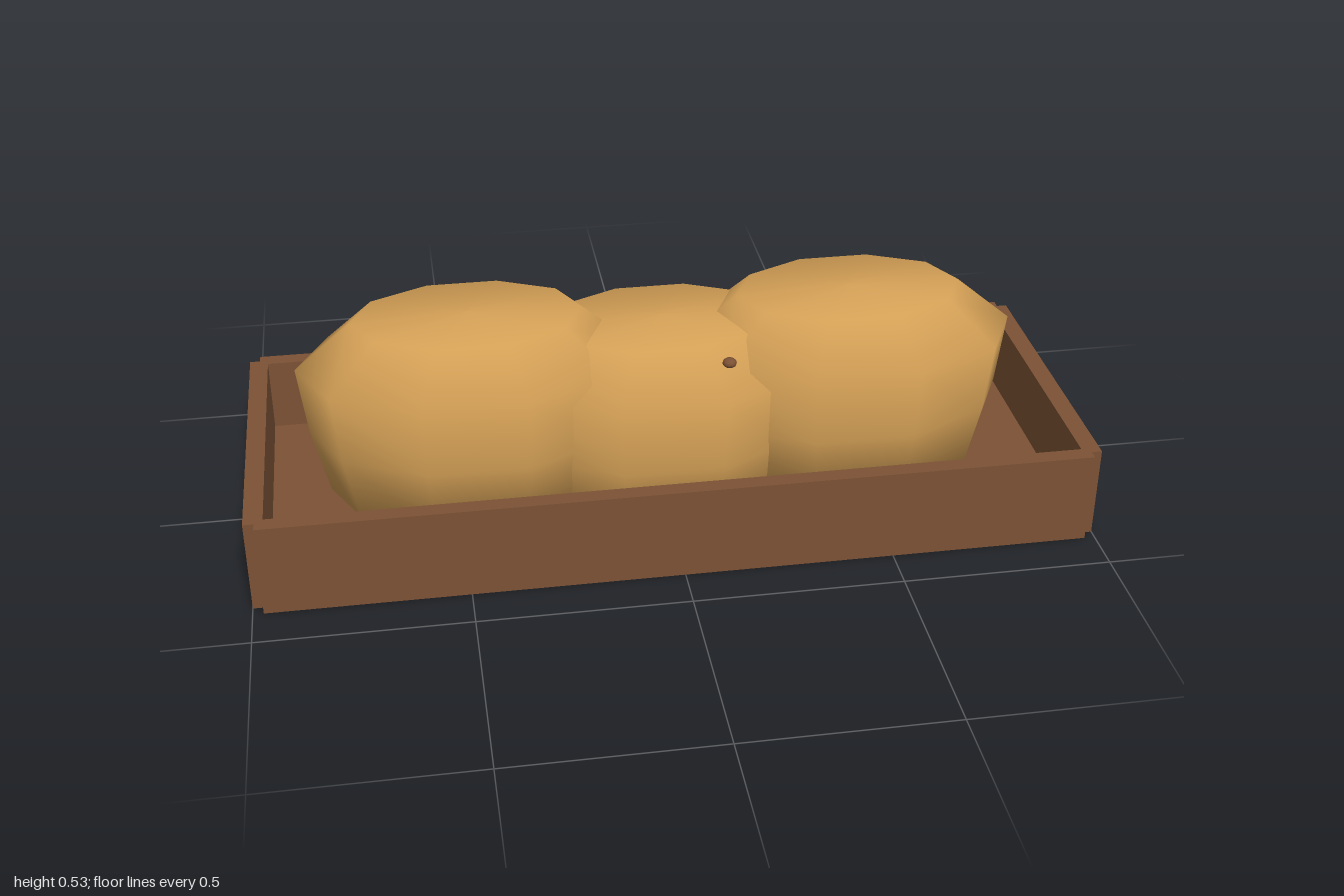
import * as THREE from 'three';

export function createModel() {
  const model = new THREE.Group();
  const wood = new THREE.MeshStandardMaterial({ color: 0x7b5134 });
  wood.name = 'brown wood';
  const crust = new THREE.MeshStandardMaterial({ color: 0xd4a056 });
  crust.name = 'golden crust';

  const add = (name, geometry, material, x, y, z) => {
    const mesh = new THREE.Mesh(geometry, material);
    mesh.name = name;
    mesh.position.set(x, y, z);
    model.add(mesh);
    return mesh;
  };
  const box = (name, w, h, d, x, y, z) =>
    add(name, new THREE.BoxGeometry(w, h, d), wood, x, y, z);

  // Tray: floor, long walls, and end walls that leave small notched corners
  box('trayFloor', 1.94, 0.045, 0.74, 0, 0.0225, 0);
  for (const s of [-1, 1]) {
    const side = s > 0 ? 'left' : 'right';
    box(s > 0 ? 'frontWall' : 'backWall', 1.95, 0.23, 0.04, 0, 0.115, s * 0.375);
    box(side + 'EndWall', 0.045, 0.23, 0.744, s * 0.9775, 0.115, 0);
    // Thin raised panels on the floor, with a gap at the middle
    box(side + 'FloorPanel', 0.855, 0.02, 0.57, s * 0.4575, 0.055, 0);
  }

  // Loaf: ten-sided rounded dome with smooth normals, stretched along x
  const profile = [[0, 0.05], [0.85, 0.055], [0.95, 0.23], [1, 0.405], [0.667, 0.52], [0, 0.53]]
    .map(([r, y]) => new THREE.Vector2(r, y));
  const loaf = new THREE.LatheGeometry(profile, 10, Math.PI / 2);
  loaf.scale(0.41, 1, 0.258);
  add('leftLoaf', loaf, crust, 0.46, 0, 0);
  add('rightLoaf', loaf, crust, -0.46, 0, 0);
  add('middleLoaf', loaf, crust, 0, -0.045, 0);

  // Small seed on the front of the middle loaf
  const seed = add('seed', new THREE.SphereGeometry(0.017, 10, 6), wood, 0.135, 0.445, 0.19);
  seed.scale.y = 0.7;

  return model;
}
